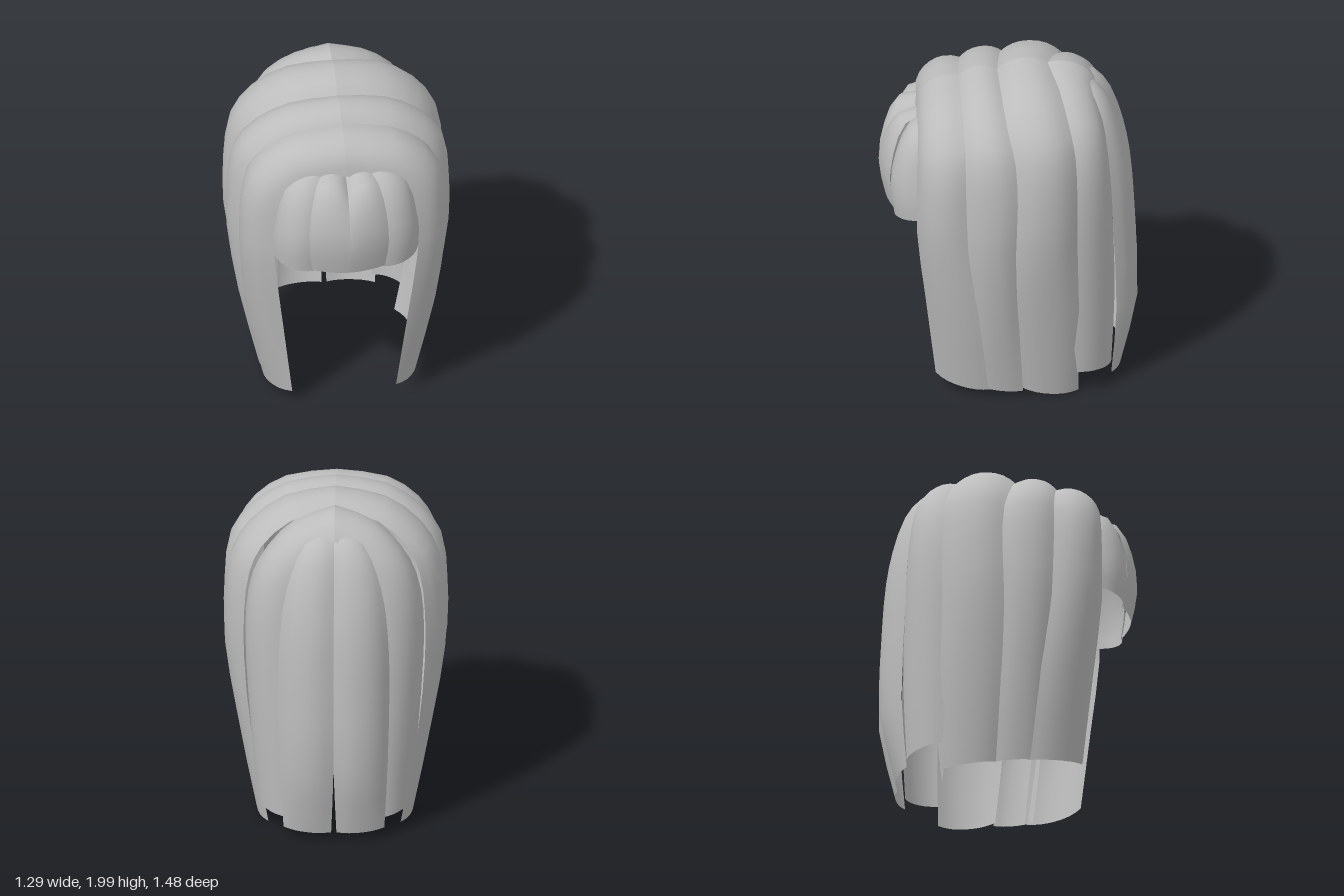
import * as THREE from 'three';

const ASH = new THREE.MeshStandardMaterial({ color: 0xbcbcbc, side: THREE.DoubleSide });
ASH.name = 'ash grey hair';

// A lock is a bowed strip. Each row: edge A (x,y,z), edge B (x,y,z), bulge outward.
function lockGeometry(rows, across = 8) {
  const curveA = new THREE.CatmullRomCurve3(rows.map(r => new THREE.Vector3(r[0], r[1], r[2])));
  const curveB = new THREE.CatmullRomCurve3(rows.map(r => new THREE.Vector3(r[3], r[4], r[5])));
  const along = (rows.length - 1) * 2;
  const pos = [], idx = [];
  for (let i = 0; i <= along; i++) {
    const t = i / along;
    const a = curveA.getPoint(t), b = curveB.getPoint(t);
    const down = curveA.getTangent(t).add(curveB.getTangent(t));
    // Locks that start on the parting bulge straight up there, so twins meet
    if (i === 0 && a.x === 0 && b.x === 0) down.set(1, 0, 0);
    const out = down.cross(b.clone().sub(a)).normalize();
    const k = Math.min(Math.floor(i / 2), rows.length - 2);
    const bulge = THREE.MathUtils.lerp(rows[k][6], rows[k + 1][6], i / 2 - k);
    for (let j = 0; j <= across; j++) {
      const u = j / across;
      const p = a.clone().lerp(b, u)
        .addScaledVector(out, bulge * (1 - Math.pow(Math.abs(2 * u - 1), 2.3)));
      pos.push(p.x, p.y, p.z);
      if (i < along && j < across) {
        const q = i * (across + 1) + j, s = q + across + 1;
        idx.push(q, s, q + 1, q + 1, s, s + 1);
      }
    }
  }
  const g = new THREE.BufferGeometry();
  g.setAttribute('position', new THREE.Float32BufferAttribute(pos, 3));
  g.setIndex(idx);
  g.computeVertexNormals();
  return g;
}

const LOCKS = {
  // Side locks run from the parting over the crown and down to the tips
  frontSideLock: [
    [0, 1.69, 0.53, 0, 1.88, 0.27, 0.08],
    [0.25, 1.65, 0.53, 0.27, 1.84, 0.26, 0.085],
    [0.36, 1.56, 0.53, 0.45, 1.73, 0.25, 0.085],
    [0.4, 1.44, 0.53, 0.54, 1.6, 0.24, 0.09],
    [0.42, 1.3, 0.53, 0.57, 1.35, 0.23, 0.09],
    [0.41, 1.08, 0.53, 0.57, 1.05, 0.21, 0.09],
    [0.36, 0.62, 0.48, 0.54, 0.6, 0.15, 0.075],
    [0.3, 0.09, 0.42, 0.44, 0.05, 0.1, 0.05]],
  middleSideLock: [
    [0, 1.86, 0.3, 0, 1.91, 0.04, 0.06],
    [0.27, 1.82, 0.29, 0.27, 1.87, 0.02, 0.06],
    [0.44, 1.71, 0.28, 0.46, 1.75, -0.01, 0.06],
    [0.54, 1.59, 0.26, 0.56, 1.6, -0.04, 0.06],
    [0.58, 1.35, 0.25, 0.6, 1.35, -0.05, 0.05],
    [0.58, 1.05, 0.24, 0.6, 1.05, -0.04, 0.05],
    [0.53, 0.6, 0.2, 0.54, 0.6, -0.05, 0.04],
    [0.43, 0.06, 0.15, 0.44, 0.04, -0.08, 0.02]],
  rearSideLock: [
    [0, 1.91, 0.07, 0, 1.95, -0.25, 0.065],
    [0.27, 1.87, 0.05, 0.25, 1.89, -0.3, 0.07],
    [0.46, 1.75, 0.02, 0.42, 1.75, -0.35, 0.07],
    [0.55, 1.6, -0.01, 0.49, 1.6, -0.38, 0.08],
    [0.59, 1.35, -0.02, 0.52, 1.35, -0.39, 0.075],
    [0.59, 1.05, -0.01, 0.52, 1.05, -0.39, 0.075],
    [0.53, 0.6, -0.02, 0.48, 0.6, -0.4, 0.055],
    [0.42, 0.05, -0.07, 0.38, 0.01, -0.4, 0.05]],
  backCornerLock: [
    [0, 1.95, -0.2, 0, 1.86, -0.5, 0.06],
    [0.22, 1.88, -0.24, 0.12, 1.77, -0.52, 0.08],
    [0.38, 1.74, -0.3, 0.2, 1.66, -0.55, 0.09],
    [0.47, 1.58, -0.33, 0.24, 1.5, -0.57, 0.09],
    [0.51, 1.35, -0.34, 0.26, 1.3, -0.59, 0.085],
    [0.51, 1.05, -0.34, 0.27, 1.05, -0.6, 0.08],
    [0.48, 0.6, -0.35, 0.27, 0.6, -0.61, 0.065],
    [0.44, 0.16, -0.39, 0.27, 0.13, -0.59, 0.04]],
  backCentreLock: [
    [0.13, 1.87, -0.36, 0, 1.9, -0.36, 0.02],
    [0.21, 1.79, -0.47, 0, 1.86, -0.48, 0.04],
    [0.26, 1.67, -0.53, 0, 1.74, -0.57, 0.05],
    [0.29, 1.5, -0.57, 0, 1.5, -0.64, 0.06],
    [0.31, 1.3, -0.59, 0, 1.3, -0.68, 0.065],
    [0.32, 1.05, -0.6, 0, 1.05, -0.7, 0.07],
    [0.31, 0.5, -0.62, 0, 0.5, -0.715, 0.07],
    [0.29, 0.07, -0.59, 0.015, 0.06, -0.64, 0.03]],
  // Fringe
  centreFringe: [
    [0, 1.68, 0.48, 0.12, 1.71, 0.46, 0.02],
    [0, 1.63, 0.62, 0.18, 1.67, 0.59, 0.04],
    [0, 1.53, 0.7, 0.22, 1.5, 0.66, 0.025],
    [0, 1.33, 0.74, 0.23, 1.32, 0.68, 0.015],
    [0, 1.13, 0.705, 0.22, 1.13, 0.65, 0.01]],
  sideFringe: [
    [0.08, 1.7, 0.46, 0.3, 1.66, 0.42, 0.05],
    [0.14, 1.67, 0.56, 0.38, 1.57, 0.48, 0.065],
    [0.17, 1.5, 0.64, 0.41, 1.42, 0.5, 0.07],
    [0.18, 1.32, 0.67, 0.425, 1.27, 0.51, 0.07],
    [0.19, 1.12, 0.65, 0.42, 1.16, 0.51, 0.06]],
};

export function createModel() {
  const hair = new THREE.Group();
  hair.name = 'hair';

  // Every lock has a mirrored twin
  for (const [name, rows] of Object.entries(LOCKS)) {
    const geometry = lockGeometry(rows);
    for (const side of [1, -1]) {
      const mesh = new THREE.Mesh(geometry, ASH);
      mesh.name = name + (side > 0 ? 'Left' : 'Right');
      mesh.scale.x = side;
      hair.add(mesh);
    }
  }

  // Short under-layer at the nape, inside the long back locks
  const ring = (angle, y, r) => [0.42 * r * Math.sin(angle), y, -0.12 - 0.42 * r * Math.cos(angle)];
  const levels = [[1.65, 0.85], [1.35, 1], [1.1, 1], [0.87, 0.92]];
  for (let k = -2; k <= 2; k++) {
    const mid = k * 0.56;
    const rows = levels.map(([y, r]) => [...ring(mid + 0.28, y, r), ...ring(mid - 0.28, y, r), 0.03]);
    const mesh = new THREE.Mesh(lockGeometry(rows, 4), ASH);
    mesh.name = 'napeLock' + (k + 3);
    hair.add(mesh);
  }
  return hair;
}
